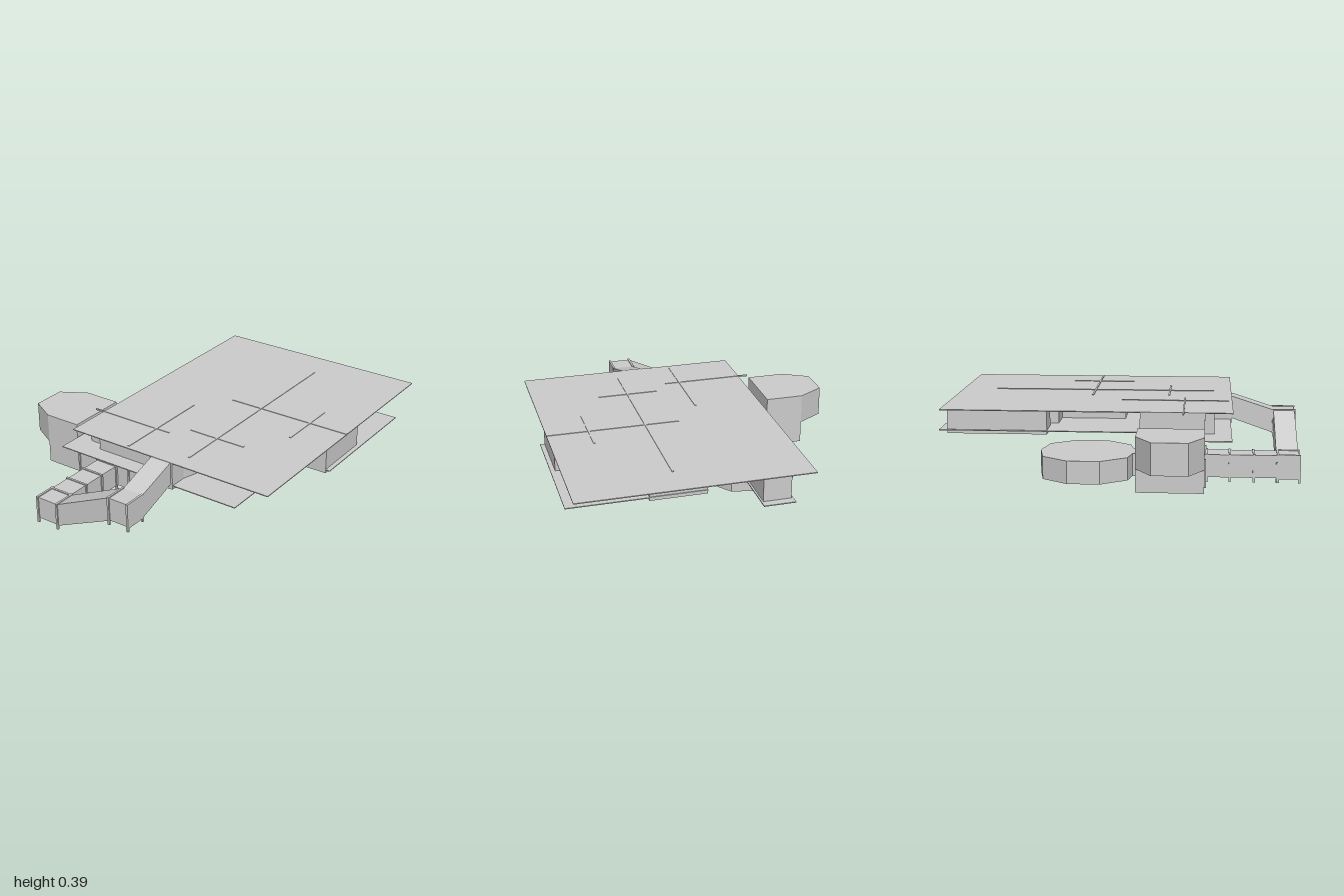
import * as THREE from 'three';

const solid = new THREE.MeshStandardMaterial({ color: 0xcccccc, flatShading: true });
const thin = new THREE.MeshStandardMaterial({ color: 0xcccccc, flatShading: true, side: THREE.DoubleSide });

export function createModel() {
  const model = new THREE.Group();

  const add = (name, geometry, material = solid) => {
    const mesh = new THREE.Mesh(geometry, material);
    mesh.name = name;
    model.add(mesh);
    return mesh;
  };

  // Box given by its limits on each axis
  const box = (name, x0, x1, y0, y1, z0, z1) =>
    add(name, new THREE.BoxGeometry(x1 - x0, y1 - y0, z1 - z0)
      .translate((x0 + x1) / 2, (y0 + y1) / 2, (z0 + z1) / 2));

  const extrude = (points, depth) => new THREE.ExtrudeGeometry(
    new THREE.Shape(points.map(([a, b]) => new THREE.Vector2(a, b))), { depth, bevelEnabled: false });

  // Plan outline of [x, z] corners raised from y0 to y1
  const slab = (name, plan, y0, y1) =>
    add(name, extrude(plan.map(([x, z]) => [x, -z]), y1 - y0).rotateX(-Math.PI / 2).translate(0, y0, 0));

  // Thin walls following a closed plan outline
  const walls = (name, plan, y0 = 0.23, y1 = 0.385) => {
    const position = [];
    plan.forEach(([ax, az], i) => {
      const [bx, bz] = plan[(i + 1) % plan.length];
      position.push(ax, y0, az, bx, y0, bz, bx, y1, bz, ax, y0, az, bx, y1, bz, ax, y1, az);
    });
    const geometry = new THREE.BufferGeometry();
    geometry.setAttribute('position', new THREE.Float32BufferAttribute(position, 3));
    geometry.computeVertexNormals();
    add(name, geometry, thin);
  };
  const rect = (x0, x1, z0, z1) => [[x0, z0], [x1, z0], [x1, z1], [x0, z1]];

  // Roof and upper floor
  box('roof', -0.4, 0.845, 0.382, 0.387, -0.97, 0.62);
  slab('upperFloor', [
    [0.855, -0.76], [0.855, 0.01], [0.65, 0.01], [0.65, 0.615], [-0.49, 0.615], [-0.49, 0.11],
    [-0.28, 0.11], [-0.28, -1], [-0.11, -1], [-0.11, -0.62], [0.11, -0.62], [0.11, -0.76],
  ], 0.247, 0.252);

  // Upper rooms
  walls('eastRoomWalls', rect(0.44, 0.83, -0.335, 0.01));
  walls('centralHallWalls', rect(0.11, 0.42, -0.755, 0.01));
  walls('northRoomWalls', rect(-0.27, -0.12, -0.955, -0.4));
  walls('smallRoomWalls', rect(-0.05, 0.11, -0.58, -0.36));
  walls('westRoomWalls', [[-0.4, 0.12], [0.045, 0.12], [0.045, 0.52], [-0.3, 0.52], [-0.3, 0.47], [-0.4, 0.47]]);
  walls('southRoomWalls', [
    [0.13, 0.13], [0.44, 0.13], [0.44, 0.4], [0.3, 0.4], [0.265, 0.52], [0.265, 0.62], [0.13, 0.62],
  ]);

  // Narrow ribs on the roof, [x0, x1, z0, z1]
  for (const [x0, x1, z0, z1] of [
    [0.295, 0.305, -0.77, 0.52], [0.11, 0.845, -0.185, -0.175], [0.61, 0.62, -0.34, 0.03],
    [0.13, 0.47, 0.255, 0.265], [-0.04, -0.03, 0, 0.6], [-0.455, 0.05, 0.35, 0.358],
  ]) box('roofRib', x0, x1, 0.381, 0.39, z0, z1);

  // Lower level: long room, raised bay and ten-sided room
  box('lowerRoom', -0.72, -0.02, 0.025, 0.15, 0.115, 0.47);
  slab('raisedBay', [
    [-0.865, 0.2], [-0.72, 0.115], [-0.505, 0.115], [-0.505, 0.47], [-0.72, 0.47], [-0.865, 0.39],
  ], 0.15, 0.32);
  const ring = Array.from({ length: 10 }, (_, i) => {
    const a = (i + 0.5) * Math.PI / 5;
    return [-0.295 + 0.283 * Math.cos(a), -0.17 + Math.max(-0.26, Math.min(0.26, 0.283 * Math.sin(a)))];
  });
  slab('roundRoom', ring, 0.025, 0.15);
  box('roundRoomPassage', -0.36, -0.22, 0.025, 0.15, 0.05, 0.12);

  // Covered passage: level leg, ramp across the front, ramp back up to the hall
  box('lowerPassage', -0.355, -0.225, 0.025, 0.15, 0.46, 0.87);
  add('frontRamp', extrude([
    [-0.355, 0.025], [-0.21, 0.025], [0.14, 0.18], [0.255, 0.18],
    [0.255, 0.31], [0.13, 0.31], [-0.22, 0.15], [-0.355, 0.15],
  ], 0.12).translate(0, 0, 0.86));
  add('upperRamp', extrude([
    [0.62, 0.26], [0.85, 0.18], [0.98, 0.18], [0.98, 0.31], [0.86, 0.31], [0.63, 0.385], [0.62, 0.385],
  ], 0.122).rotateY(-Math.PI / 2).translate(0.255, 0, 0));

  // Support frames: a band round the passage with two feet
  const frame = (x0, x1, z0, z1, y0, y1) => {
    const alongX = x1 - x0 < z1 - z0;
    box('frameBand', x0, x1, y0 - 0.005, y1 + 0.005, z0, z1);
    for (const end of [0, 1]) {
      const x = alongX ? x0 : end ? x1 - 0.012 : x0;
      const z = alongX ? (end ? z1 - 0.012 : z0) : z0;
      box('frameFoot', x, x + 0.012, y0 - 0.025, y0, z, z + 0.012);
    }
  };
  for (const z of [0.475, 0.6, 0.73, 0.86]) frame(-0.362, -0.218, z, z + 0.012, 0.025, 0.15);
  for (const x of [-0.36, -0.228]) frame(x, x + 0.012, 0.855, 0.987, 0.025, 0.15);
  for (const x of [0.125, 0.246]) frame(x, x + 0.012, 0.855, 0.987, 0.18, 0.31);
  for (const x of [-0.498, -0.148]) frame(x, x + 0.01, 0.11, 0.478, 0.025, 0.15);

  return model;
}
